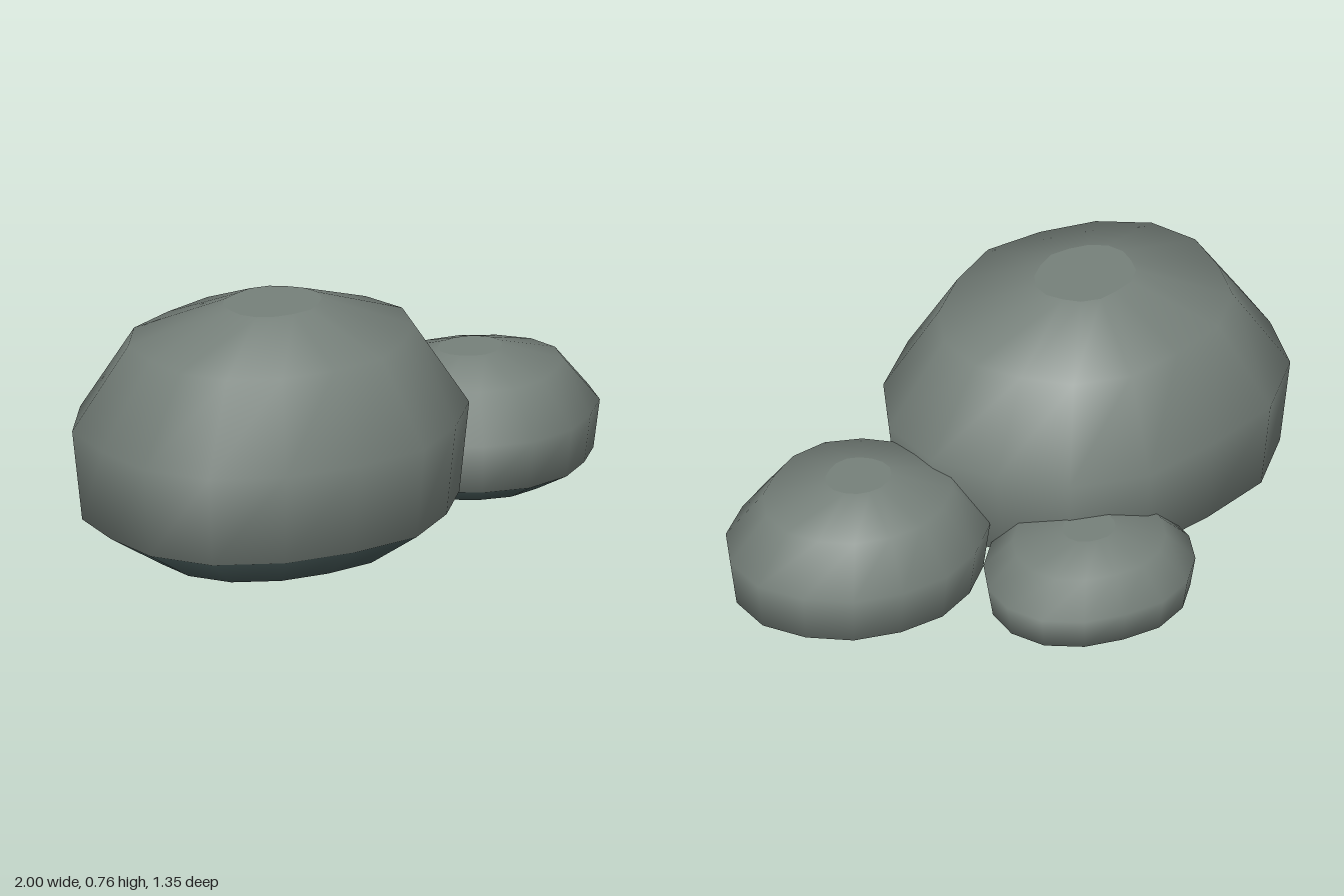
import * as THREE from 'three';

const SIDES = 16;
// Shared boulder profile: [radius factor, height factor], from the ground up
const PROFILE = [[0.65, 0], [0.95, 0.15], [1, 0.52], [0.72, 0.86], [0.25, 1]];

const stone = new THREE.MeshStandardMaterial({ color: 0x76807a });
stone.name = 'stone';
const dampStone = new THREE.MeshStandardMaterial({ color: 0x435554 });
dampStone.name = 'dampStone';

// Smooth boulder with flat top and bottom; wobble scales the radius at each side
function boulderGeometry(rx, height, rz, wobble) {
  const positions = [];
  const addRing = ([r, h]) => {
    const start = positions.length / 3;
    for (let j = 0; j < SIDES; j++) {
      const a = (j / SIDES) * Math.PI * 2;
      const k = r * wobble[j];
      positions.push(Math.cos(a) * rx * k, h * height, Math.sin(a) * rz * k);
    }
    return start;
  };
  const rings = PROFILE.map(addRing);
  const bottom = addRing(PROFILE[0]);
  const top = addRing(PROFILE[PROFILE.length - 1]);

  const index = [];
  // Underside cap
  for (let j = 1; j < SIDES - 1; j++) index.push(bottom, bottom + j, bottom + j + 1);
  // Walls, lowest band first
  let dampCount = 0;
  for (let i = 0; i < rings.length - 1; i++) {
    for (let j = 0; j < SIDES; j++) {
      const n = (j + 1) % SIDES;
      const a = rings[i] + j, b = rings[i] + n, c = rings[i + 1] + j, d = rings[i + 1] + n;
      index.push(a, c, b, b, c, d);
    }
    if (i === 0) dampCount = index.length;
  }
  // Top cap
  for (let j = 1; j < SIDES - 1; j++) index.push(top, top + j + 1, top + j);

  const geometry = new THREE.BufferGeometry();
  geometry.setAttribute('position', new THREE.Float32BufferAttribute(positions, 3));
  geometry.setIndex(index);
  geometry.addGroup(0, dampCount, 0);
  geometry.addGroup(dampCount, index.length - dampCount, 1);
  geometry.computeVertexNormals();
  return geometry;
}

// Wobble runs from +x through +z, -x and -z
const BOULDERS = [
  { name: 'largeBoulder', at: [-0.333, 0.1], size: [0.667, 0.765, 0.56],
    wobble: [1, 1.02, 1, 0.98, 1.02, 0.98, 1, 1.02, 1, 0.965, 1.02, 1.03, 0.98, 1.03, 1.02, 0.97] },
  { name: 'mediumBoulder', at: [0.56, 0.19], size: [0.42, 0.41, 0.38],
    wobble: [1.045, 1.04, 1.01, 0.97, 1.01, 1.03, 1, 0.98, 1, 1.02, 1, 0.98, 0.99, 0.98, 1, 1.01] },
  { name: 'smallBoulder', at: [0.12, -0.36], size: [0.345, 0.27, 0.31],
    wobble: [1.03, 1, 0.98, 1, 1.02, 1, 0.98, 1, 1, 0.99, 0.99, 1.01, 1.015, 0.98, 1.01, 1.04] },
];

export function createModel() {
  const group = new THREE.Group();
  group.name = 'boulders';
  for (const { name, at, size, wobble } of BOULDERS) {
    const mesh = new THREE.Mesh(boulderGeometry(...size, wobble), [dampStone, stone]);
    mesh.name = name;
    mesh.position.set(at[0], 0, at[1]);
    group.add(mesh);
  }
  return group;
}
